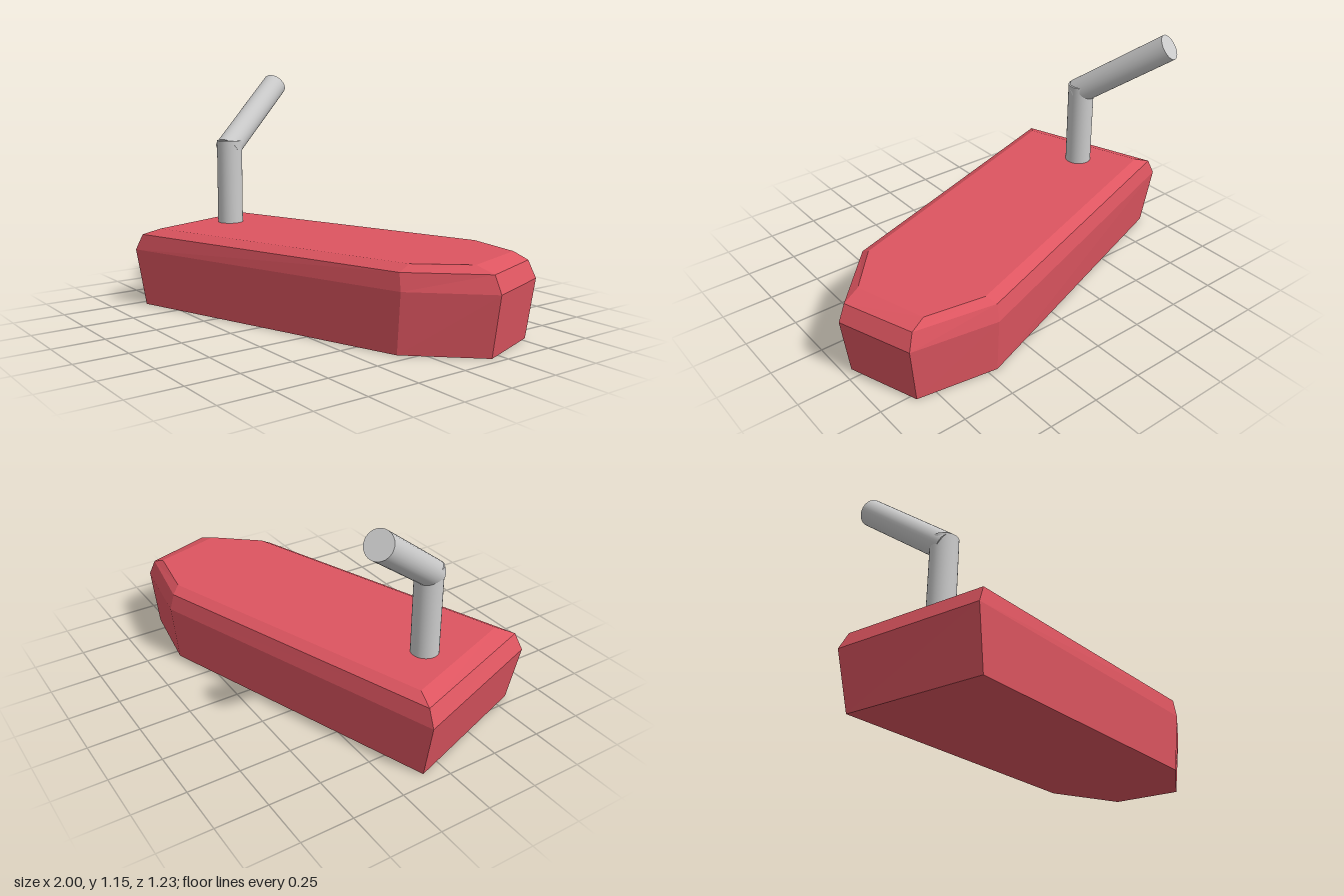
import * as THREE from 'three';

const red = new THREE.MeshStandardMaterial({ color: 0xdd5560, flatShading: true });
const grey = new THREE.MeshStandardMaterial({ color: 0xcccccc });

// Six-sided horizontal sections of the hull, bottom to top: [height, [x, z] corners]
const sections = [
  [0, [[-0.94, -0.10], [0.455, -0.59], [0.84, -0.53], [0.96, -0.195], [0.69, 0.095], [-0.705, 0.58]]],
  [0.28, [[-1, -0.11], [0.465, -0.615], [0.875, -0.55], [1, -0.2], [0.715, 0.1], [-0.75, 0.61]]],
  [0.36, [[-0.96, -0.105], [0.46, -0.595], [0.845, -0.53], [0.965, -0.195], [0.7, 0.095], [-0.72, 0.585]]],
  [0.39, [[-0.875, -0.085], [0.49, -0.555], [0.775, -0.51], [0.88, -0.17], [0.7, 0.04], [-0.665, 0.51]]],
];

// Joins the sections with side walls and closes both ends
function hullGeometry() {
  const n = 6, last = (sections.length - 1) * n;
  const points = sections.flatMap(([y, ring]) => ring.flatMap(([x, z]) => [x, y, z]));
  const index = [];
  for (let s = 0; s < last; s += n) {
    for (let i = 0; i < n; i++) {
      const a = s + i, b = s + (i + 1) % n;
      index.push(a, a + n, b, b, a + n, b + n);
    }
  }
  for (let i = 1; i < n - 1; i++) {
    index.push(0, i, i + 1);
    index.push(last, last + i + 1, last + i);
  }
  const g = new THREE.BufferGeometry();
  g.setAttribute('position', new THREE.Float32BufferAttribute(points, 3));
  g.setIndex(index);
  const flat = g.toNonIndexed();
  flat.computeVertexNormals();
  return flat;
}

// Round rod between two points
function rod(name, from, to, radius) {
  const a = new THREE.Vector3(...from), b = new THREE.Vector3(...to);
  const dir = b.clone().sub(a);
  const mesh = new THREE.Mesh(new THREE.CylinderGeometry(radius, radius, dir.length(), 32), grey);
  mesh.name = name;
  mesh.position.copy(a).add(b).multiplyScalar(0.5);
  mesh.quaternion.setFromUnitVectors(new THREE.Vector3(0, 1, 0), dir.normalize());
  return mesh;
}

export function createModel() {
  const model = new THREE.Group();
  model.name = 'model';

  const hull = new THREE.Mesh(hullGeometry(), red);
  hull.name = 'hull';
  model.add(hull);

  // Upright post and the slanted handle on its top
  model.add(rod('post', [-0.645, 0.36, 0.113], [-0.645, 0.82, 0.113], 0.065));
  model.add(rod('handle', [-0.64, 0.775, 0.13], [-0.828, 1.1, -0.29], 0.065));
  return model;
}
